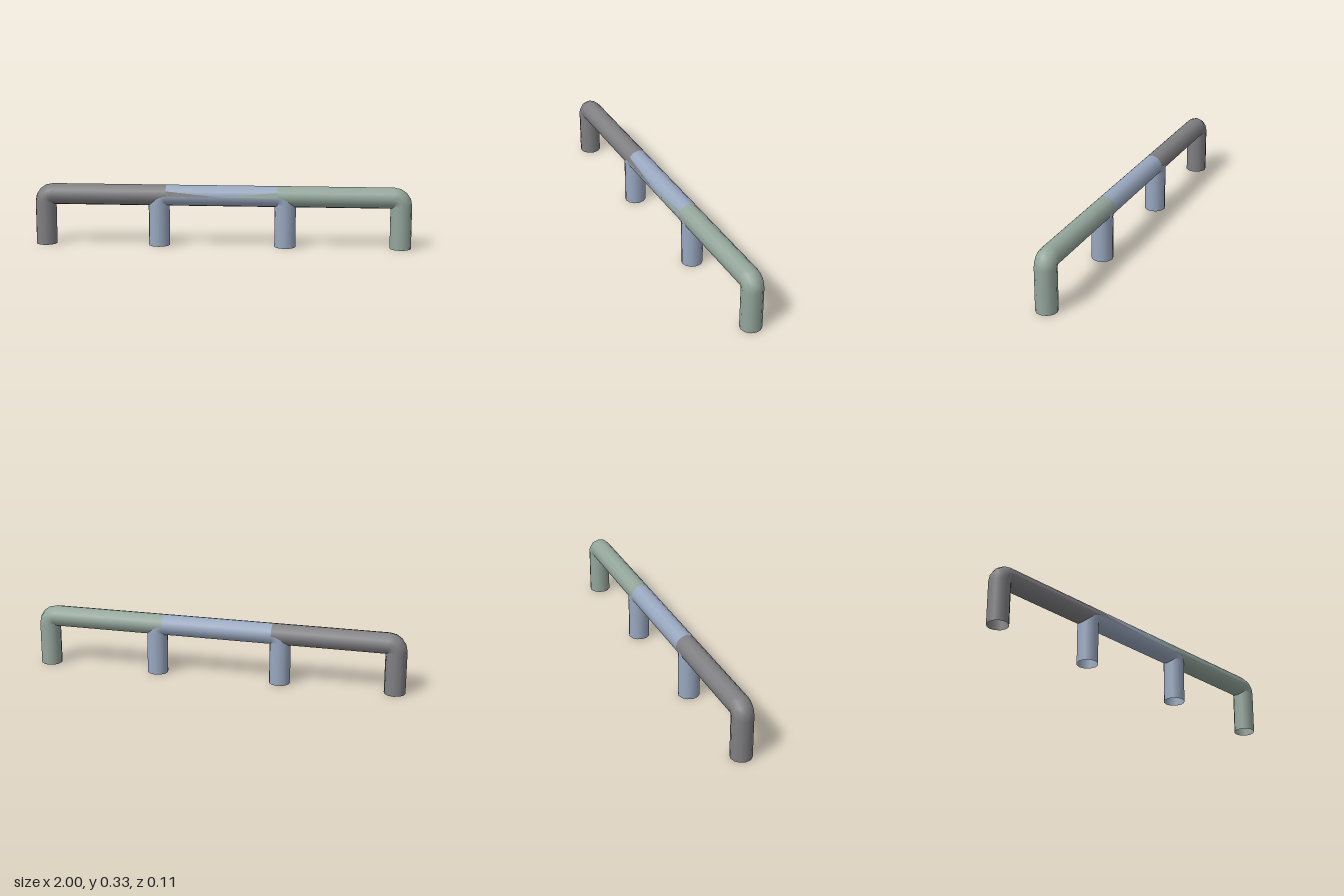
import * as THREE from 'three';

const R = 0.0563, AXIS = 0.27, BEND = 0.04, SIDES = 12, STEPS = 4;
const OUTER = 1 - R, INNER = 0.335, JOIN = INNER - BEND;

const mat = (name, color) => {
  const m = new THREE.MeshStandardMaterial({ color, side: THREE.DoubleSide });
  m.name = name;
  return m;
};

// Stations [x, y, heading] up a leg at -x and round its elbow
function legStations(x) {
  const list = [[-x, 0, Math.PI / 2]];
  for (let i = 0; i <= STEPS; i++) {
    const a = (Math.PI / 2) * (1 - i / STEPS);
    list.push([-x + BEND * (1 - Math.sin(a)), AXIS - BEND + BEND * Math.cos(a), a]);
  }
  return list;
}

const mirrored = (list) => list.map(([x, y, a]) => [-x, y, -a]).reverse();

// Open pipe swept along stations in the XY plane
function pipe(name, stations, material) {
  const pos = [], nor = [], idx = [];
  for (const [x, y, a] of stations) {
    for (let j = 0; j < SIDES; j++) {
      const p = (j / SIDES) * Math.PI * 2;
      const n = [-Math.sin(a) * Math.cos(p), Math.cos(a) * Math.cos(p), Math.sin(p)];
      nor.push(...n);
      pos.push(x + R * n[0], y + R * n[1], R * n[2]);
    }
  }
  for (let i = 0; i < stations.length - 1; i++) {
    for (let j = 0; j < SIDES; j++) {
      const k = (j + 1) % SIDES;
      const a = i * SIDES + j, b = i * SIDES + k, c = a + SIDES, d = b + SIDES;
      idx.push(a, b, c, b, d, c);
    }
  }
  const g = new THREE.BufferGeometry();
  g.setAttribute('position', new THREE.Float32BufferAttribute(pos, 3));
  g.setAttribute('normal', new THREE.Float32BufferAttribute(nor, 3));
  g.setIndex(idx);
  const mesh = new THREE.Mesh(g, material);
  mesh.name = name;
  return mesh;
}

// Tapering colour sliver on the front facet of the middle rail
function sliver(name, side, material) {
  const r = R + 0.0006, top = Math.PI / 3;
  const upper = [side * JOIN, AXIS + r * Math.cos(top), r * Math.sin(top)];
  const lower = [side * JOIN, AXIS, r];
  const tip = [0, AXIS, r];
  const g = new THREE.BufferGeometry();
  const corners = side < 0 ? [upper, lower, tip] : [upper, tip, lower];
  g.setAttribute('position', new THREE.Float32BufferAttribute(corners.flat(), 3));
  g.computeVertexNormals();
  const mesh = new THREE.Mesh(g, material);
  mesh.name = name;
  return mesh;
}

export function createModel() {
  const grey = mat('dark grey', 0x808083);
  const blue = mat('pale blue', 0x99a8c0);
  const green = mat('sage green', 0x94a69c);
  const group = new THREE.Group();
  group.name = 'pipeRail';

  // End pipes: one leg, elbow and straight rail each
  const end = [...legStations(OUTER), [-JOIN, AXIS, 0]];
  group.add(pipe('rightPipe', end, grey), pipe('leftPipe', mirrored(end), green));

  // Middle pipe with two legs
  const half = legStations(INNER);
  group.add(pipe('middlePipe', [...half, ...mirrored(half)], blue));

  group.add(sliver('rightSliver', -1, grey), sliver('leftSliver', 1, green));
  return group;
}
